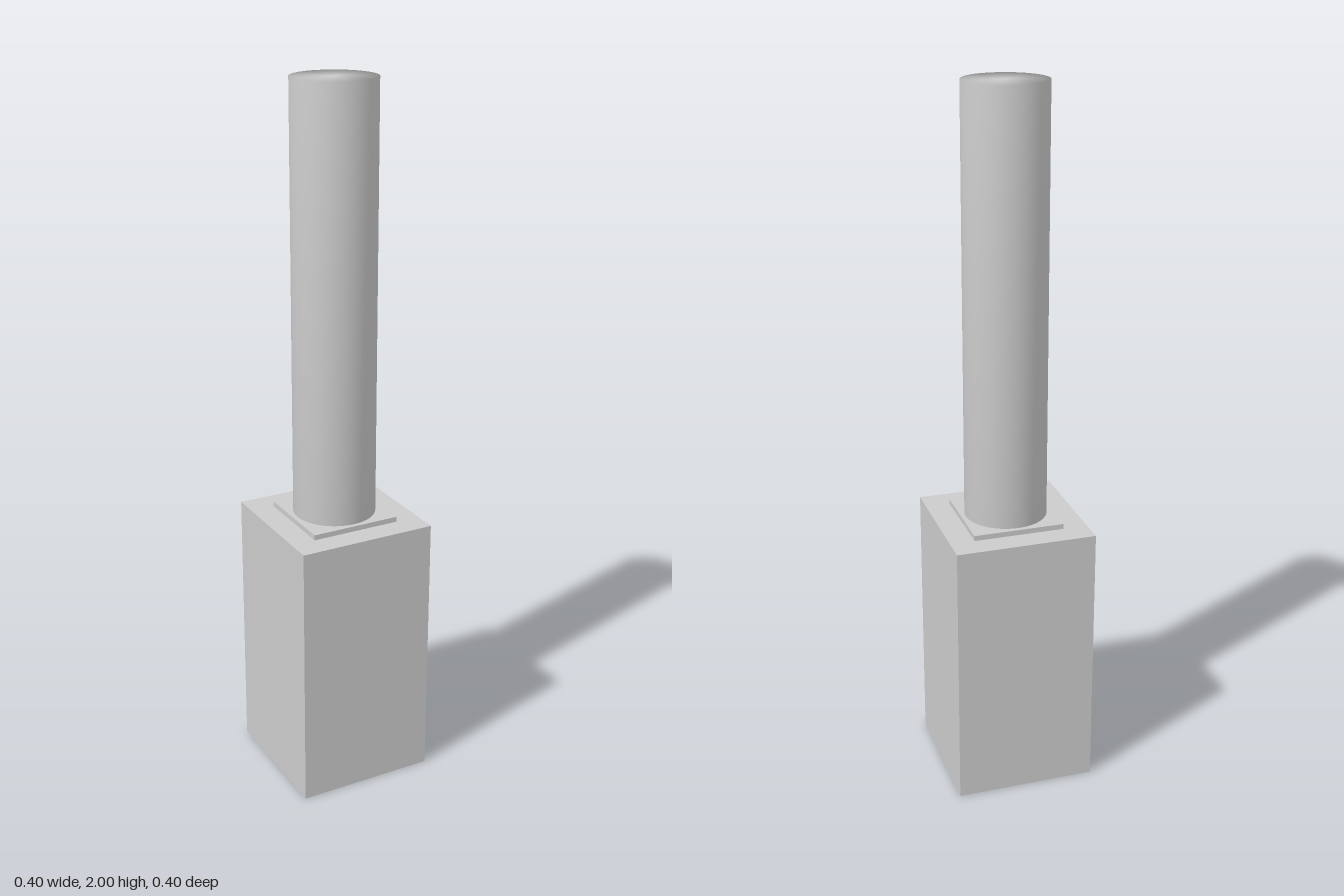
import * as THREE from 'three';
import { mergeVertices } from 'three/addons/utils/BufferGeometryUtils.js';

const BASE_TOP = 0.777, PLATE_TOP = 0.792, TOP = 2;

const material = new THREE.MeshStandardMaterial({ color: 0xcccccc, side: THREE.DoubleSide });

// Square block without its underside
function openBlock(name, width, y0, y1) {
  const geometry = new THREE.BoxGeometry(width, y1 - y0, width);
  const index = Array.from(geometry.index.array);
  index.splice(18, 6); // the downward face
  geometry.setIndex(index);
  geometry.clearGroups();
  const mesh = new THREE.Mesh(geometry, material);
  mesh.name = name;
  mesh.position.y = (y0 + y1) / 2;
  return mesh;
}

// Round column whose flat cap shares smooth normals with its side
function column(name, radius, y0, y1) {
  let geometry = new THREE.CylinderGeometry(radius, radius, y1 - y0, 64);
  geometry.deleteAttribute('normal');
  geometry.deleteAttribute('uv');
  geometry.clearGroups();
  geometry = mergeVertices(geometry);
  geometry.computeVertexNormals();
  const mesh = new THREE.Mesh(geometry, material);
  mesh.name = name;
  mesh.position.y = (y0 + y1) / 2;
  return mesh;
}

export function createModel() {
  const model = new THREE.Group();
  model.name = 'columnOnPedestal';
  model.add(
    openBlock('pedestal', 0.4, 0, BASE_TOP),
    openBlock('plinthPlate', 0.26, BASE_TOP, PLATE_TOP),
    column('column', 0.117, PLATE_TOP, TOP),
  );
  return model;
}
